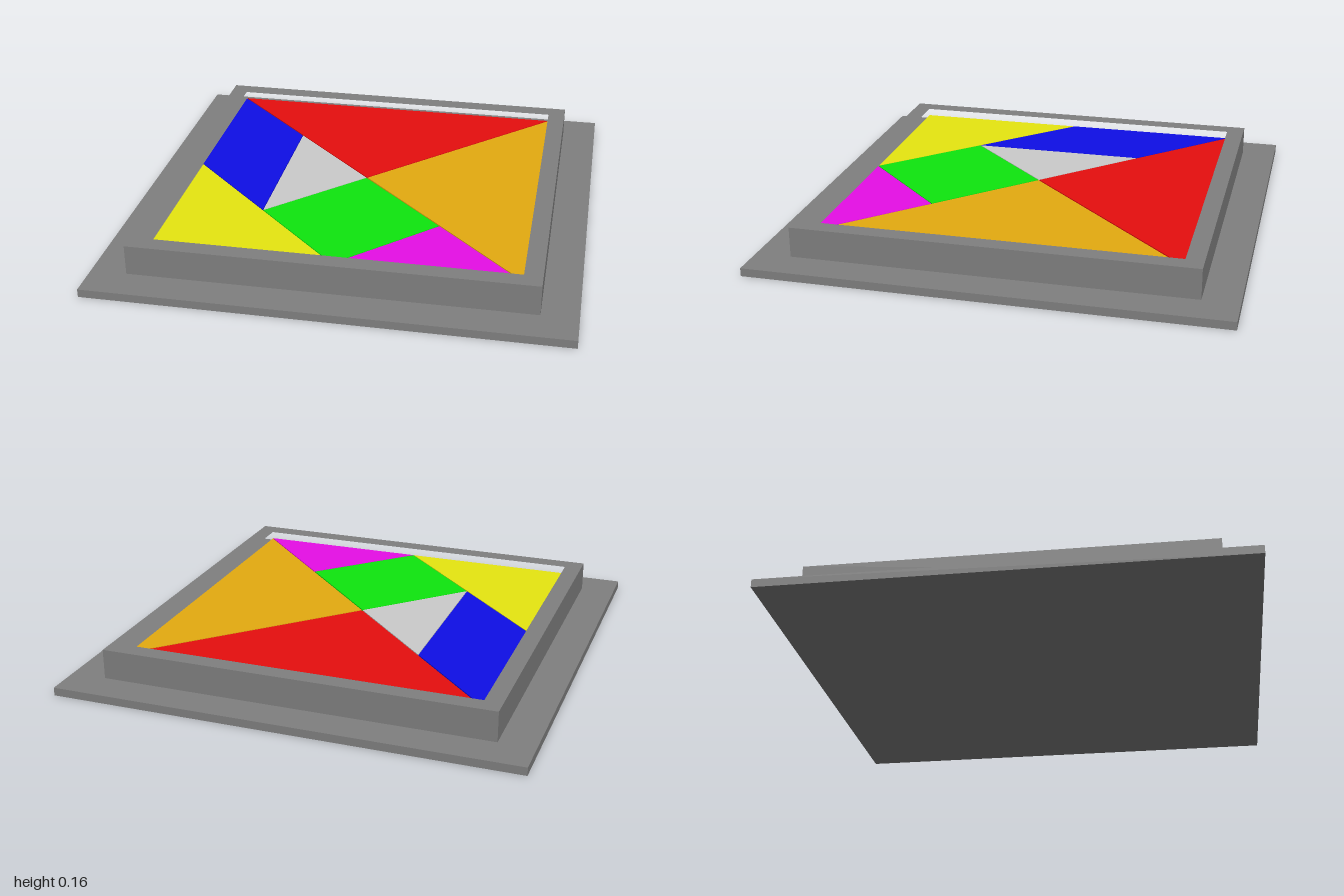
import * as THREE from 'three';

const S = 0.77, H = S / 2;               // half and quarter size of the puzzle square
const BASE_TOP = 0.035, RIM_TOP = 0.165, PIECE_TOP = 0.132;

// Vertical prism from an outline of [x, z] corners
function prism(name, corners, y0, y1, color, hole) {
  const toPoints = list => list.map(([x, z]) => new THREE.Vector2(x, -z));
  const shape = new THREE.Shape(toPoints(corners));
  if (hole) shape.holes.push(new THREE.Path(toPoints(hole)));
  const geometry = new THREE.ExtrudeGeometry(shape, { depth: y1 - y0, bevelEnabled: false });
  geometry.rotateX(-Math.PI / 2).translate(0, y0, 0);
  const mesh = new THREE.Mesh(geometry, new THREE.MeshStandardMaterial({ color }));
  mesh.name = name;
  return mesh;
}

const square = r => [[-r, -r], [r, -r], [r, r], [-r, r]];

// Shrink an outline slightly about its centre to leave a hairline gap
function inset(corners, scale = 0.992) {
  const cx = corners.reduce((sum, p) => sum + p[0], 0) / corners.length;
  const cz = corners.reduce((sum, p) => sum + p[1], 0) / corners.length;
  return corners.map(([x, z]) => [cx + (x - cx) * scale, cz + (z - cz) * scale]);
}

export function createModel() {
  const model = new THREE.Group();
  model.name = 'tangramTray';

  // Tray: flat base plate and raised square rim
  model.add(prism('basePlate', square(1), 0, BASE_TOP, 0x7f7f7f));
  model.add(prism('rim', square(0.847), BASE_TOP, RIM_TOP, 0x7f7f7f, square(S)));

  // Seven puzzle pieces, sitting just below the rim
  const pieces = [
    ['largeTriangleBack', 0xe60e0e, [[-S, -S], [S, -S], [0, 0]]],
    ['largeTriangleLeft', 0xe4ab10, [[S, -S], [S, S], [0, 0]]],
    ['parallelogram', 0x0e0ee6, [[-S, -S], [-H, -H], [-H, H], [-S, 0]]],
    ['smallTriangleMiddle', 0xcccccc, [[-H, -H], [0, 0], [-H, H]]],
    ['squarePiece', 0x0ee60e, [[0, 0], [H, H], [0, S], [-H, H]]],
    ['smallTriangleFront', 0xe60ee6, [[H, H], [S, S], [0, S]]],
    ['mediumTriangle', 0xe6e610, [[-S, 0], [0, S], [-S, S]]],
  ];
  for (const [name, color, corners] of pieces) {
    model.add(prism(name, inset(corners), BASE_TOP, PIECE_TOP, color));
  }
  return model;
}
